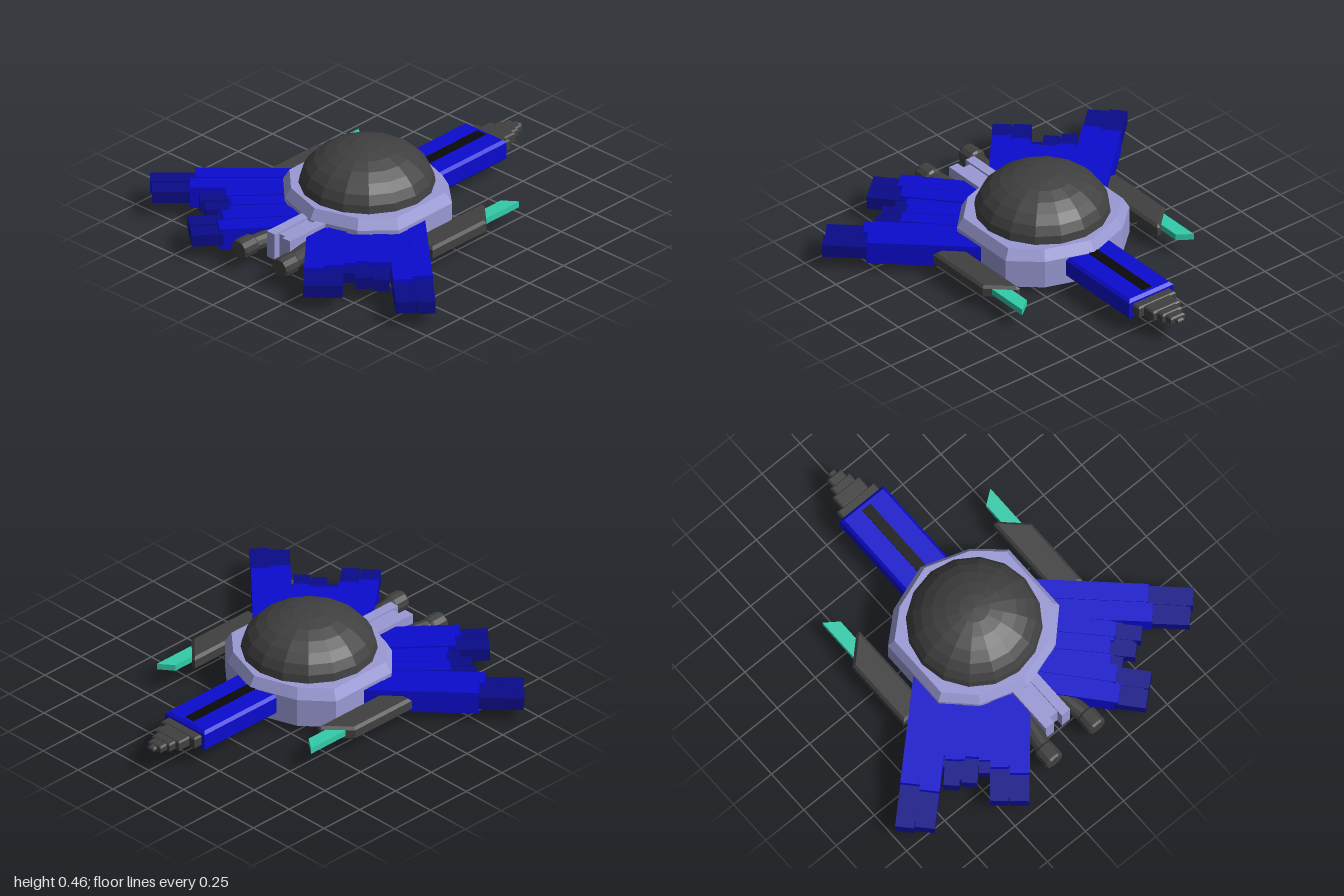
import * as THREE from 'three';
import { ConvexGeometry } from 'three/addons/geometries/ConvexGeometry.js';

const mat = (name, color) => {
  const m = new THREE.MeshStandardMaterial({ color, flatShading: true });
  m.name = name;
  return m;
};

export function createModel() {
  const charcoal = mat('charcoal', 0x404040);
  const lavender = mat('lavender', 0x9a9ad6);
  const blue = mat('blue', 0x0b0bcf);
  const navy = mat('navy', 0x0b0b8a);
  const teal = mat('teal', 0x32ccaa);
  const black = mat('black', 0x0a0a0a);

  const model = new THREE.Group();
  model.name = 'saucerShip';
  model.position.x = -0.012;

  const add = (name, geometry, material, x = 0, y = 0, z = 0, parent = model) => {
    const mesh = new THREE.Mesh(geometry, material);
    mesh.name = name;
    mesh.position.set(x, y, z);
    parent.add(mesh);
    return mesh;
  };

  // Flat plate from an [x, z] outline between two heights, with chamfered edges
  const plate = (outline, y0, y1, bevel) => {
    const shape = new THREE.Shape(outline.map(([x, z]) => new THREE.Vector2(x, -z)));
    const g = new THREE.ExtrudeGeometry(shape, {
      depth: y1 - y0 - 2 * bevel, bevelEnabled: bevel > 0, bevelThickness: bevel,
      bevelSize: bevel, bevelOffset: -bevel, bevelSegments: 1,
    });
    return g.rotateX(-Math.PI / 2).translate(0, y0 + bevel, 0);
  };

  // Ten-sided hull with a chamfered rim and a shallow keel ridge
  const half = [[0, -0.415], [0.25, -0.33], [0.397, -0.2], [0.397, 0.19], [0.25, 0.335], [0, 0.415]];
  const hullPoints = [];
  for (const [y, k] of [[0.038, 1], [0.19, 1], [0.245, 0.925]])
    for (const [x, z] of half)
      for (const s of [-1, 1]) hullPoints.push(new THREE.Vector3(s * x * k, y, 0.11 + z * k));
  for (const s of [-1, 1]) hullPoints.push(new THREE.Vector3(s * 0.23, 0, 0.11));
  add('hull', new ConvexGeometry(hullPoints), lavender);

  // Dome
  const dome = new THREE.SphereGeometry(0.345, 16, 7, 0, Math.PI * 2, 0, Math.PI / 2);
  add('dome', dome.scale(1, 0.225 / 0.345, 1), charcoal, 0, 0.237, 0.11);

  // Nose block, its slot and the stepped flat drill
  add('nose', plate([[-0.142, -0.76], [0.142, -0.76], [0.142, -0.2], [-0.142, -0.2]], 0.07, 0.187, 0.015), blue);
  add('noseSlot', new THREE.BoxGeometry(0.055, 0.008, 0.45), black, 0, 0.188, -0.5);
  const drill = new THREE.Group();
  drill.name = 'drill';
  model.add(drill);
  const steps = [[-0.74, -0.81, 0.12, 0.032], [-0.8, -0.885, 0.086, 0.029], [-0.875, -0.93, 0.063, 0.025],
    [-0.92, -0.975, 0.045, 0.021], [-0.965, -1, 0.021, 0.014]];
  for (const [z0, z1, r, h] of steps) {
    const g = plate([[-r, z0], [r, z0], [r, z1], [-r, z1]], 0.13 - h, 0.13 + h, 0.008);
    add('drillStep', g, charcoal, 0, 0, 0, drill);
  }

  // Wing fingers: end point, heading from +x, then strips of [offset, width, setback of end, length of tip]
  const fingers = [
    { end: [0.913, 0.725], angle: 43, length: 0.84, strips: [[0.052, 0.096, 0, 0.225], [-0.05, 0.1, 0.01, 0.19], [0, 0.03, 0.035, 0.2]] },
    { end: [0.593, 0.7], angle: 46, length: 0.62, strips: [[0.045, 0.08, 0, 0.13], [-0.045, 0.08, 0.02, 0.13], [0, 0.03, 0.035, 0.1], [0.105, 0.06, 0.1, 0.05]] },
    { end: [0.457, 0.92], angle: 49, length: 0.72, strips: [[0.052, 0.092, 0, 0.17], [-0.05, 0.1, 0, 0.14], [0, 0.03, 0.02, 0.16], [0.125, 0.06, 0.15, 0.06]] },
  ];

  for (const s of [-1, 1]) {
    const side = s > 0 ? 'left' : 'right';
    const wing = new THREE.Group();
    wing.name = side + 'Wing';
    model.add(wing);
    for (const { end, angle, length, strips } of fingers) {
      const a = THREE.MathUtils.degToRad(angle), dx = Math.cos(a), dz = Math.sin(a);
      // Bar between two distances measured back from the finger's end
      const bar = (name, material, offset, width, height, from, to) => {
        const mid = (from + to) / 2;
        const x = end[0] - dx * mid + dz * offset, z = end[1] - dz * mid - dx * offset;
        const m = add(name, new THREE.BoxGeometry(width, height, to - from), material, s * x, 0.11, z, wing);
        m.rotation.y = Math.atan2(s * dx, dz);
      };
      strips.forEach(([offset, width, back, tip], i) => {
        bar('wingTip', navy, offset, width, 0.068 - i * 0.004, back, back + tip + 0.02);
        bar('wingFinger', blue, offset, width, 0.122 - i * 0.005, back + tip, length);
      });
    }
    // Web joining the finger roots
    add('wingRoot', plate([[s * 0.2, 0.2], [s * 0.39, 0.2], [s * 0.5, 0.46], [s * 0.3, 0.58], [s * 0.1, 0.45]], 0.056, 0.162, 0), blue, 0, 0, 0, wing);

    // Side cannon with a slanted blade
    const cannon = [[0.44, -0.26], [0.46, -0.26], [0.587, -0.14], [0.587, 0.255], [0.44, 0.255]];
    add(side + 'Cannon', plate(cannon.map(([x, z]) => [s * x, z]), 0.068, 0.142, 0.014), charcoal);
    const blade = [[0.478, -0.36], [0.552, -0.415], [0.552, -0.13], [0.478, -0.13]];
    add(side + 'Blade', plate(blade.map(([x, z]) => [s * x, z]), 0.095, 0.128, 0), teal);

    // Tail fin slab and thruster
    add(side + 'TailFin', new THREE.BoxGeometry(0.054, 0.145, 0.4), lavender, s * 0.053, 0.118, 0.557);
    const p = new THREE.Vector3(s * 0.08, 0.11, 0.45), q = new THREE.Vector3(s * 0.138, 0.115, 0.82);
    const pipe = add(side + 'ThrusterPipe', new THREE.CylinderGeometry(0.045, 0.05, p.distanceTo(q), 12), charcoal);
    pipe.position.copy(p).lerp(q, 0.5);
    pipe.quaternion.setFromUnitVectors(new THREE.Vector3(0, 1, 0), q.clone().sub(p).normalize());
    const nozzle = [[0, 0], [0.046, 0], [0.055, 0.012], [0.055, 0.088], [0.047, 0.1], [0, 0.1]];
    const g = new THREE.LatheGeometry(nozzle.map(([r, h]) => new THREE.Vector2(r, h)), 12);
    add(side + 'Nozzle', g.rotateX(Math.PI / 2), charcoal, s * 0.14, 0.115, 0.8);
  }
  add('tailSpine', new THREE.BoxGeometry(0.052, 0.125, 0.4), lavender, 0, 0.118, 0.522);

  return model;
}
